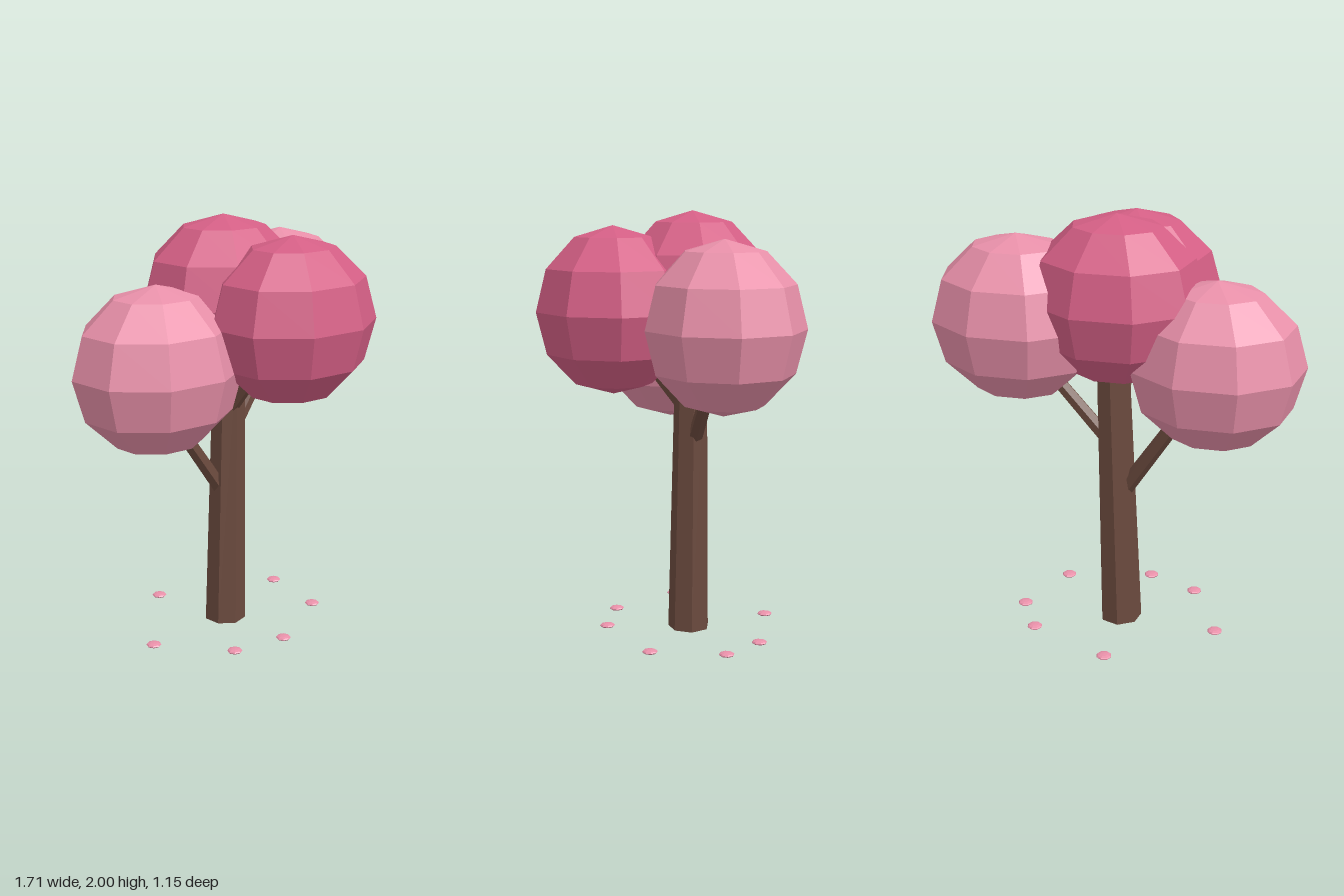
import * as THREE from 'three';

const material = (color) => new THREE.MeshStandardMaterial({ color, flatShading: true });

export function createModel() {
  const tree = new THREE.Group();
  tree.name = 'blossomTree';
  const bark = material(0x6b4a3e);
  const rose = material(0xd45f85);
  const pink = material(0xe890a9);

  const add = (name, geometry, mat) => {
    const mesh = new THREE.Mesh(geometry, mat);
    mesh.name = name;
    tree.add(mesh);
    return mesh;
  };

  // Tapered limb running between two points
  const limb = (name, from, to, r0, r1, sides) => {
    const a = new THREE.Vector3(...from);
    const b = new THREE.Vector3(...to);
    const axis = b.clone().sub(a);
    const geometry = new THREE.CylinderGeometry(r1, r0, axis.length(), sides);
    geometry.rotateY(Math.PI / 2);
    const mesh = add(name, geometry, bark);
    mesh.position.copy(a).add(b).multiplyScalar(0.5);
    mesh.quaternion.setFromUnitVectors(new THREE.Vector3(0, 1, 0), axis.normalize());
  };

  // Slightly leaning trunk and three branches
  limb('trunk', [-0.028, 0.003, -0.147], [0.012, 1.4, -0.15], 0.1, 0.076, 7);
  limb('rightBranch', [-0.03, 0.66, -0.15], [-0.29, 1.045, -0.19], 0.039, 0.034, 6);
  limb('leftBranch', [0.02, 0.925, -0.16], [0.36, 1.3, -0.195], 0.036, 0.03, 6);
  limb('frontBranch', [-0.015, 1.06, -0.135], [0, 1.3, 0.05], 0.034, 0.03, 6);

  // Four faceted blossom clusters
  const crown = new THREE.SphereGeometry(1, 9, 6).rotateY(Math.PI).scale(0.409, 0.385, 0.36);
  const clusters = [
    ['topBlossom', -0.015, 1.615, -0.155, rose],
    ['frontBlossom', 0.045, 1.55, 0.22, rose],
    ['leftBlossom', 0.442, 1.5, -0.225, pink],
    ['rightBlossom', -0.471, 1.355, -0.117, pink],
  ];
  for (const [name, x, y, z, mat] of clusters) add(name, crown, mat).position.set(x, y, z);

  // Fallen petals scattered around the trunk
  const petal = new THREE.SphereGeometry(1, 8, 6).scale(0.036, 0.011, 0.036);
  const spots = [
    [-0.51, -0.14], [-0.29, 0.18], [-0.11, -0.54], [-0.03, 0.25],
    [0.3, -0.43], [0.36, 0.09], [0.44, -0.25],
  ];
  for (const [x, z] of spots) add('fallenPetal', petal, pink).position.set(x, 0.021, z);

  return tree;
}
